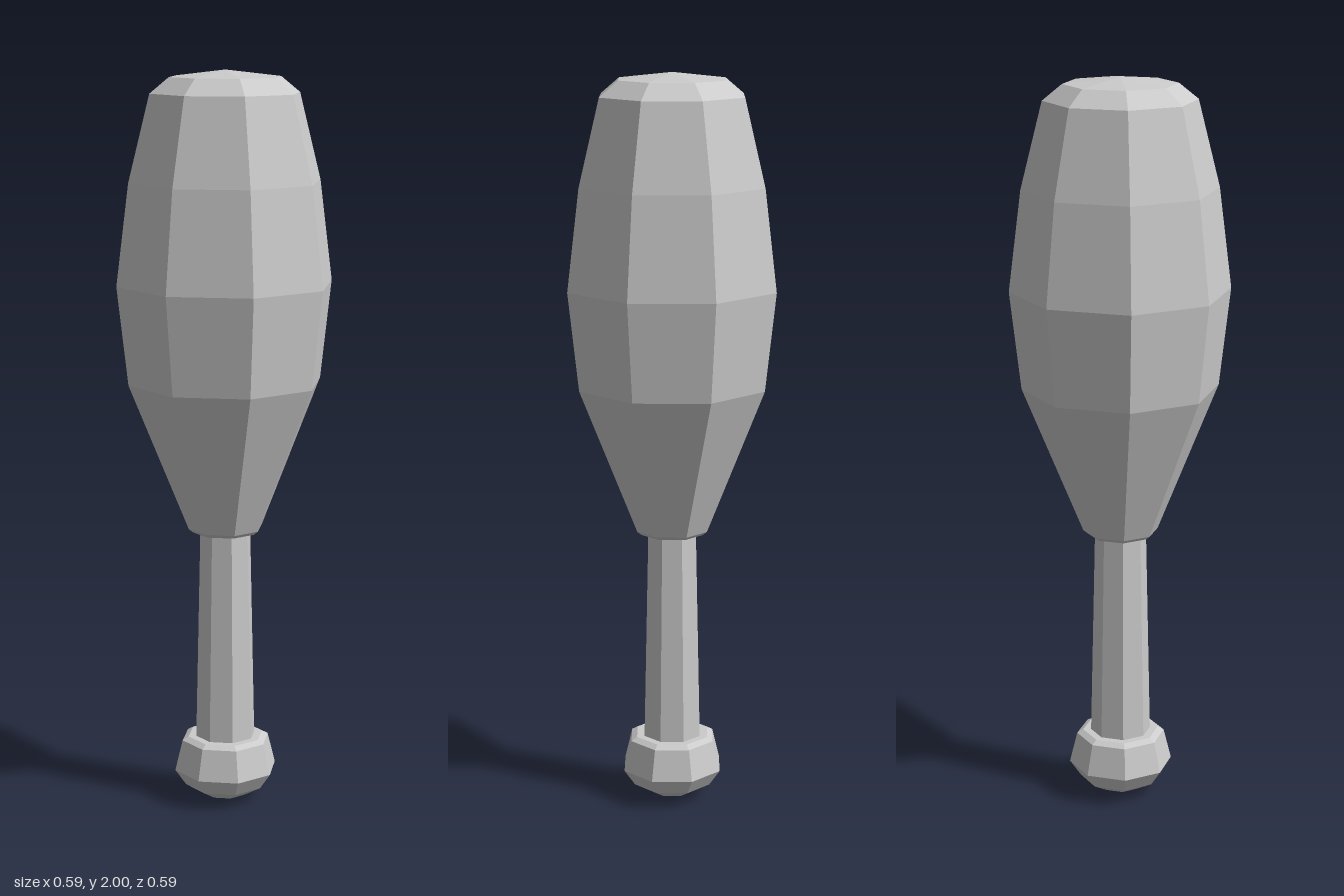
import * as THREE from 'three';

const SIDES = 8;

export function createModel() {
  const club = new THREE.Group();
  club.name = 'club';
  const material = new THREE.MeshStandardMaterial({ color: 0xcccccc, flatShading: true });

  // Turn a [radius, height] profile, listed bottom to top, into an eight-sided part
  const addTurned = (name, profile) => {
    const points = profile.map(([r, y]) => new THREE.Vector2(r, y));
    const mesh = new THREE.Mesh(new THREE.LatheGeometry(points, SIDES), material);
    mesh.name = name;
    club.add(mesh);
  };

  // Rounded pommel at the foot
  addTurned('knob', [
    [0, 0], [0.06, 0.01], [0.112, 0.04], [0.143, 0.085],
    [0.122, 0.17], [0.105, 0.18], [0.08, 0.18],
  ]);

  // Handle, narrowing towards the body
  addTurned('grip', [[0.083, 0.178], [0.07, 0.765]]);

  // Swelling body with a bevelled foot and shallow domed top
  addTurned('body', [
    [0.068, 0.762], [0.09, 0.762], [0.102, 0.772], [0.265, 1.175], [0.295, 1.44],
    [0.261, 1.71], [0.203, 1.94], [0.151, 1.982], [0, 2],
  ]);

  return club;
}
